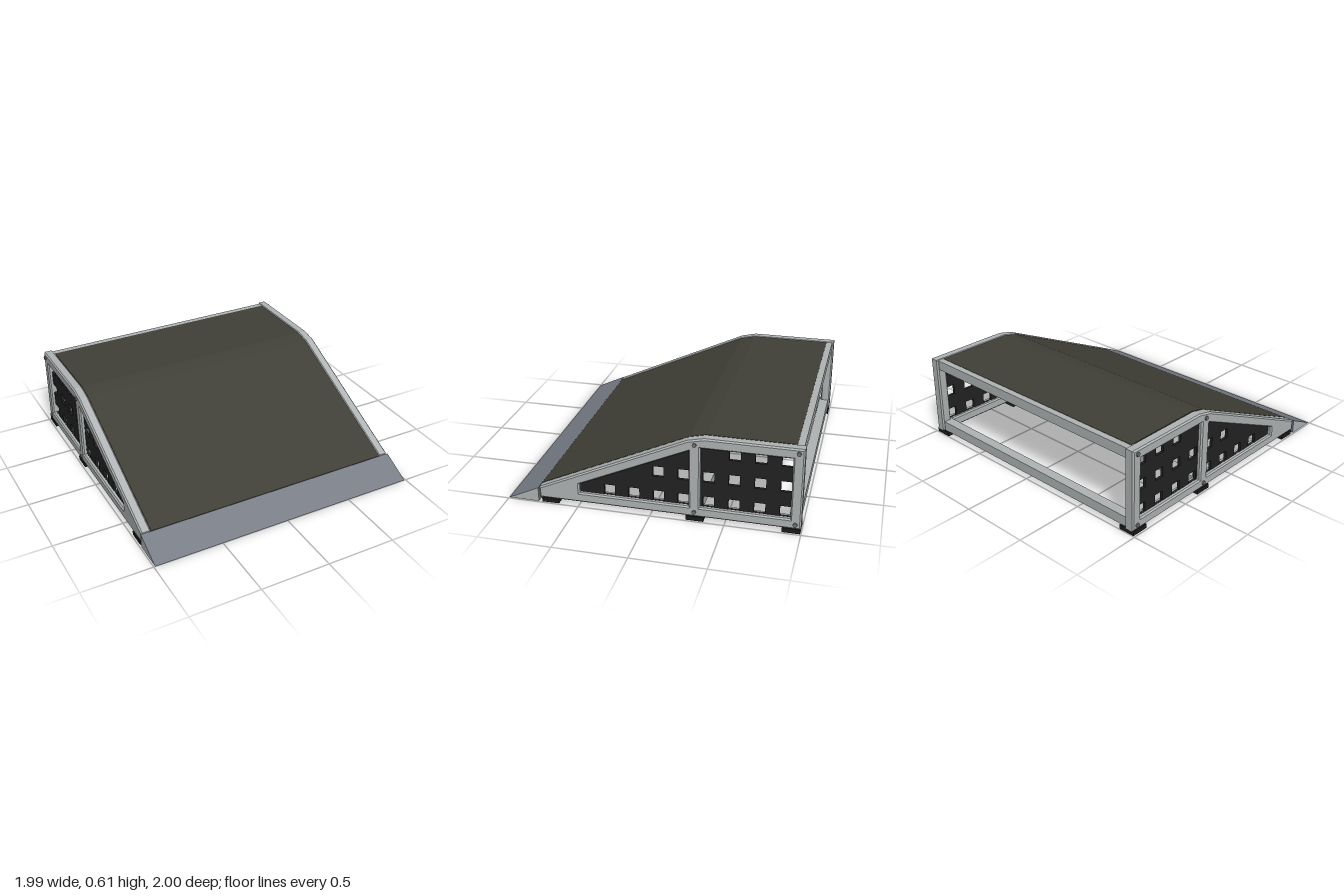
import * as THREE from 'three';

const mat = (name, color) => Object.assign(new THREE.MeshStandardMaterial({ color }), { name });

// Shape from [z, y] points
const outline = (pts) => new THREE.Shape(pts.map(([z, y]) => new THREE.Vector2(z, y)));

// Extrude a z-y profile between two x positions, with an optional chamfer
function extrudeX(shape, x0, x1, bevel = 0) {
  const g = new THREE.ExtrudeGeometry(shape, {
    depth: x1 - x0 - 2 * bevel, bevelEnabled: bevel > 0, bevelSegments: 1,
    bevelSize: bevel, bevelThickness: bevel, bevelOffset: -bevel,
  });
  g.rotateY(-Math.PI / 2);
  return g.translate(x1 - bevel, 0, 0);
}

export function createModel() {
  const metal = mat('frameMetal', 0xafb3b3);
  const toeGrey = mat('toePlateGrey', 0x787d86);
  const deckOlive = mat('deckOlive', 0x403f37);
  const netBlack = mat('panelBlack', 0x222222);
  const rubber = mat('footRubber', 0x1c1c1c);
  const steel = mat('boltSteel', 0x73777a);

  const model = new THREE.Group();
  model.name = 'ramp';
  const add = (name, geometry, material, parent = model) => {
    const m = new THREE.Mesh(geometry, material);
    m.name = name;
    parent.add(m);
    return m;
  };
  const box = (w, h, d, x, y, z) => new THREE.BoxGeometry(w, h, d).translate(x, y, z);

  // Side frame profile with a sloped opening and a rectangular one
  const frame = outline([[0.778, 0.03], [0.778, 0.108], [-0.25, 0.58], [-0.36, 0.605], [-0.998, 0.605], [-0.998, 0.03]]);
  frame.holes.push(
    outline([[0.49, 0.1], [0.49, 0.165], [-0.26, 0.508], [-0.26, 0.1]]),
    outline([[-0.335, 0.1], [-0.335, 0.533], [-0.925, 0.533], [-0.925, 0.1]]),
  );

  // Perforated panel; square holes are left out near the slope
  const panel = outline([[0.52, 0.07], [0.52, 0.18], [-0.27, 0.54], [-0.31, 0.555], [-0.96, 0.555], [-0.96, 0.07]]);
  const s = 0.074;
  for (let row = 0; row < 3; row++) {
    for (let col = 0; col < 8; col++) {
      const z = 0.322 - col * 0.168;
      const y = 0.101 + row * 0.18;
      if (y + s > 0.145 + (0.49 - z) * 0.453) continue;
      panel.holes.push(outline([[z, y], [z - s, y], [z - s, y + s], [z, y + s]]));
    }
  }

  for (const side of [1, -1]) {
    const group = new THREE.Group();
    group.name = side > 0 ? 'leftSide' : 'rightSide';
    model.add(group);
    const span = (a, b) => (side > 0 ? [a, b] : [-b, -a]);
    add('sideFrame', extrudeX(frame, ...span(0.914, 0.986), 0.01), metal, group);
    add('sidePanel', extrudeX(panel, ...span(0.938, 0.958)), netBlack, group);

    // Rubber feet
    for (const z of [0.7, -0.3, -0.935]) {
      add('foot', box(0.12, 0.031, 0.12, side * 0.928, 0.0155, z), rubber, group);
    }
    // Hexagonal bolt heads
    for (const [z, y] of [[-0.298, 0.556], [-0.298, 0.065], [-0.96, 0.575], [-0.96, 0.065]]) {
      const head = new THREE.CylinderGeometry(0.015, 0.015, 0.02, 6).toNonIndexed();
      head.computeVertexNormals();
      head.rotateZ(Math.PI / 2).translate(side * 0.987, y, z);
      add('bolt', head, steel, group);
    }
  }

  // Cross rails between the side frames
  for (const [name, y, z] of [
    ['rearTopRail', 0.566, -0.95], ['rearBottomRail', 0.067, -0.95],
    ['middleBottomRail', 0.067, -0.298], ['frontBottomRail', 0.062, 0.735],
  ]) {
    add(name, box(1.84, name === 'frontBottomRail' ? 0.06 : 0.07, 0.07, 0, y, z), metal);
  }

  // Deck sheet following the slope, the bend and the flat top
  const deck = outline([
    [0.782, 0.105], [-0.25, 0.578], [-0.36, 0.603], [-0.94, 0.603],
    [-0.94, 0.575], [-0.355, 0.575], [-0.24, 0.55], [0.782, 0.078],
  ]);
  add('deck', extrudeX(deck, -0.915, 0.915), deckOlive);

  // Wedge-shaped toe at the front, with bare metal ends
  const toe = outline([[1, 0], [0.784, 0.103], [0.784, 0]]);
  add('toePlate', extrudeX(toe, -0.99, 0.99), [metal, toeGrey]);

  return model;
}
